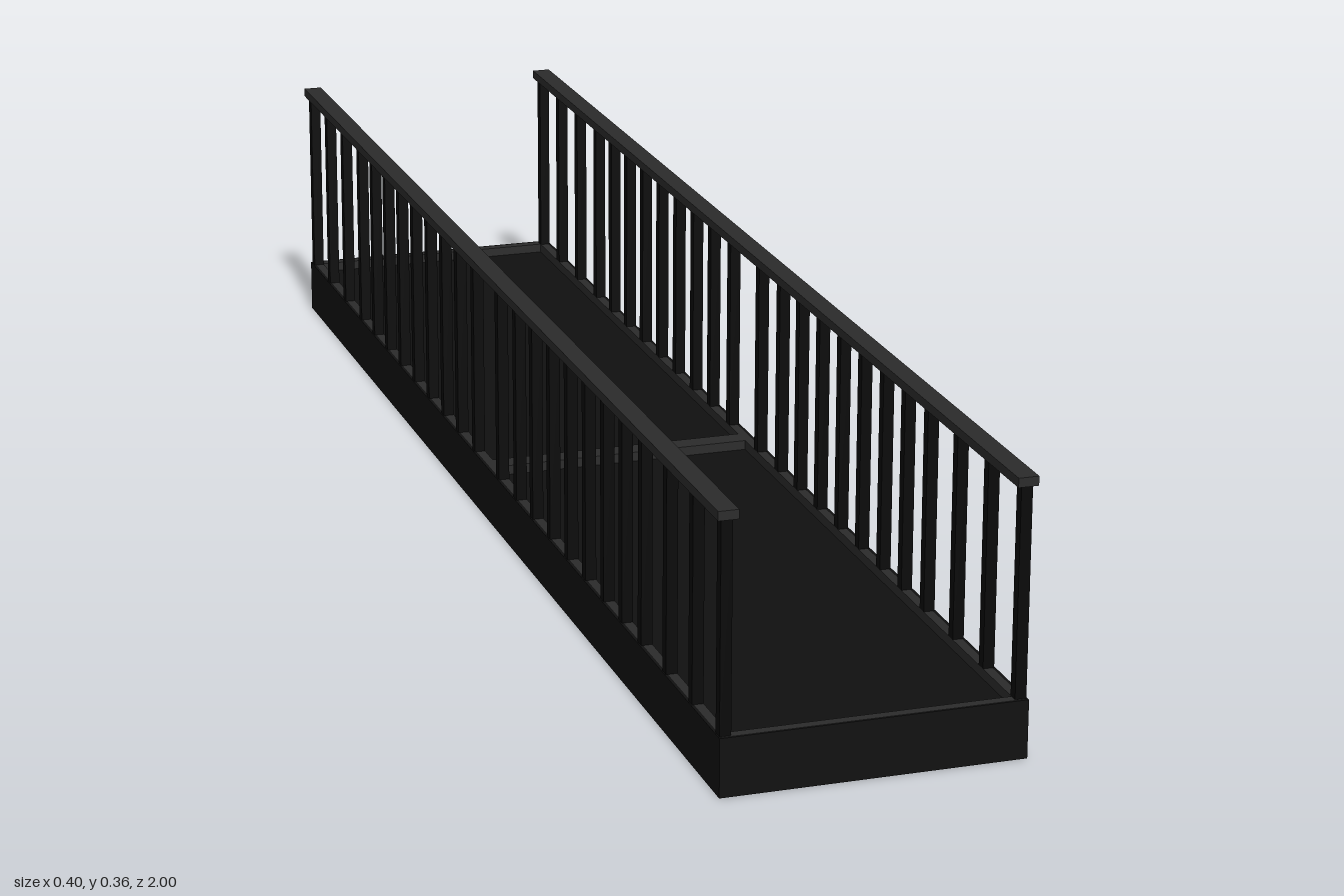
import * as THREE from 'three';

const frameMat = new THREE.MeshStandardMaterial({ color: 0x2b2b2b });
const darkMat = new THREE.MeshStandardMaterial({ color: 0x101010 });
const postMat = new THREE.MeshStandardMaterial({ color: 0x080808 });

const HALF_W = 0.195, HALF_L = 1, DECK_H = 0.076;
const SKIN = 0.004, BEAM = 0.012;

// Box given by its extents on each axis
function box(name, mat, [x0, x1], [y0, y1], [z0, z1]) {
  const mesh = new THREE.Mesh(new THREE.BoxGeometry(x1 - x0, y1 - y0, z1 - z0), mat);
  mesh.position.set((x0 + x1) / 2, (y0 + y1) / 2, (z0 + z1) / 2);
  mesh.name = name;
  return mesh;
}

// Extents from a to b, mirrored when the sign is negative
const span = (s, a, b) => (s > 0 ? [a, b] : [-b, -a]);

function createBase() {
  const base = new THREE.Group();
  base.name = 'base';
  const fx = HALF_W - SKIN, fz = HALF_L - SKIN;
  const ix = fx - BEAM, iz = fz - BEAM;
  const h = [0, DECK_H];
  for (const s of [1, -1]) {
    // Dark outer cladding around a lighter frame
    base.add(box('sideCladding', darkMat, span(s, fx, HALF_W), h, [-HALF_L, HALF_L]));
    base.add(box('endCladding', darkMat, [-fx, fx], h, span(s, fz, HALF_L)));
    base.add(box('sideBeam', frameMat, span(s, ix, fx), h, [-fz, fz]));
    base.add(box('endBeam', frameMat, [-ix, ix], h, span(s, iz, fz)));
    // Recessed walking surface, one panel per half
    base.add(box('deckPanel', darkMat, [-ix, ix], [0.03, 0.063], span(s, 0.015, iz)));
  }
  base.add(box('crossBeam', frameMat, [-ix, ix], h, [-0.015, 0.015]));
  return base;
}

function createRailing(side) {
  const railing = new THREE.Group();
  railing.name = side > 0 ? 'leftRailing' : 'rightRailing';
  railing.add(box('handrail', frameMat, span(side, 0.173, 0.199), [0.347, 0.359], [-HALF_L, HALF_L]));
  // Balusters, mirrored about the middle
  const stations = [0.06, 0.145, 0.222, 0.301, 0.38, 0.458, 0.536, 0.612, 0.69, 0.788, 0.887, 0.988];
  for (const z of stations) {
    for (const end of [1, -1]) {
      railing.add(box('baluster', postMat, span(side, 0.179, 0.1935), [DECK_H, 0.347],
        span(end, z - 0.007, z + 0.007)));
    }
  }
  return railing;
}

export function createModel() {
  const model = new THREE.Group();
  model.name = 'footbridge';
  model.add(createBase(), createRailing(1), createRailing(-1));
  return model;
}
